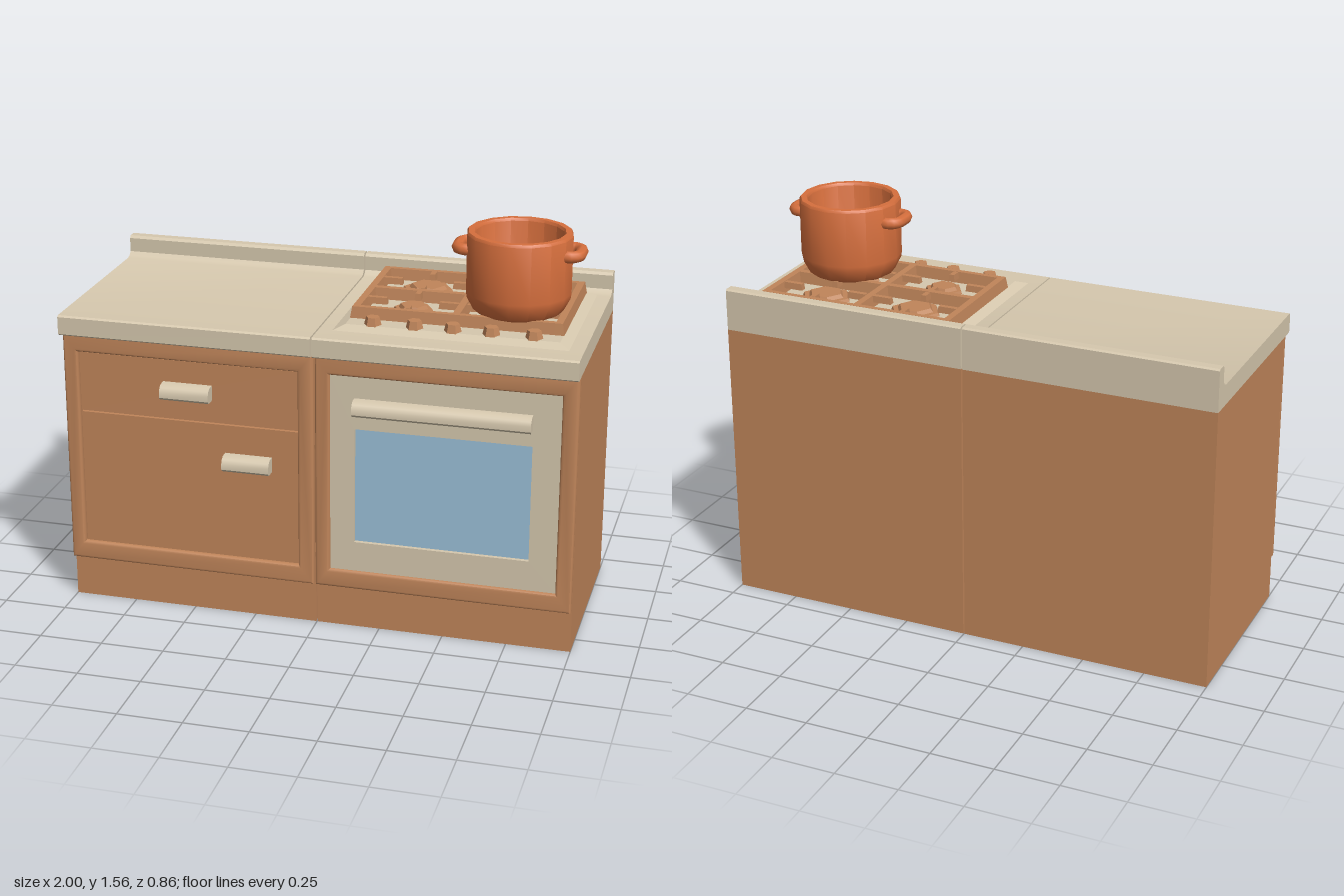
import * as THREE from 'three';
import { toCreasedNormals } from 'three/addons/utils/BufferGeometryUtils.js';

const mat = (name, color) => {
  const m = new THREE.MeshStandardMaterial({ color });
  m.name = name;
  return m;
};

export function createModel() {
  const wood = mat('wood', 0xc0855a);
  const cream = mat('cream', 0xd6c8ae);
  const glass = mat('glass', 0x9ac0d8);
  const orange = mat('orange', 0xd66f3d);
  const model = new THREE.Group();
  model.name = 'kitchenUnits';

  const add = (parent, name, geometry, material) => {
    const m = new THREE.Mesh(geometry, material);
    m.name = name;
    parent.add(m);
    return m;
  };
  const group = (name) => {
    const g = new THREE.Group();
    g.name = name;
    model.add(g);
    return g;
  };

  // Box given by its limits; the top can be drawn in to make sloping sides
  const block = (x0, x1, y0, y1, z0, z1, inset = 0) => {
    const w = x1 - x0, d = z1 - z0;
    const g = new THREE.BoxGeometry(w, y1 - y0, d).toNonIndexed();
    const p = g.attributes.position;
    for (let i = 0; i < p.count; i++) {
      if (p.getY(i) > 0) {
        p.setX(i, p.getX(i) * (1 - 2 * inset / w));
        p.setZ(i, p.getZ(i) * (1 - 2 * inset / d));
      }
    }
    g.computeVertexNormals();
    return g.translate((x0 + x1) / 2, (y0 + y1) / 2, (z0 + z1) / 2);
  };

  // Profile of [z, y] points drawn out from x0 to x1
  const alongX = (points, x0, x1) => {
    const s = new THREE.Shape(points.map(([z, y]) => new THREE.Vector2(z, y)));
    const g = new THREE.ExtrudeGeometry(s, { depth: x1 - x0, bevelEnabled: false });
    return toCreasedNormals(g.rotateY(-Math.PI / 2).translate(x1, 0, 0), 0.6);
  };

  const rect = (T, x0, x1, y0, y1) => new T([[x0, y0], [x1, y0], [x1, y1], [x0, y1]]
    .map(([x, y]) => new THREE.Vector2(x, y)));

  // Flat front panel with a rectangular opening and soft front edges
  const framePanel = (outer, inner, z0, z1, bevel) => {
    const [a, b, c, d] = outer, [e, f, g, h] = inner;
    const s = rect(THREE.Shape, a + bevel, b - bevel, c + bevel, d - bevel);
    s.holes.push(rect(THREE.Path, e - bevel, f + bevel, g - bevel, h + bevel));
    const geo = new THREE.ExtrudeGeometry(s, {
      depth: z1 - z0 - 2 * bevel, bevelEnabled: bevel > 0,
      bevelSize: bevel, bevelThickness: bevel, bevelSegments: 3,
    });
    return toCreasedNormals(geo.translate(0, 0, z0 + bevel), 0.6);
  };

  const handle = (parent, name, x0, x1, y) => add(parent, name, alongX([
    [0.37, y], [0.42, y], [0.43, y + 0.01], [0.43, y + 0.032],
    [0.422, y + 0.048], [0.408, y + 0.058], [0.37, y + 0.06],
  ], x0, x1), cream);

  // Carcass, plinth, front frame and worktop shared by both units
  const unit = (name, x0, x1) => {
    const g = group(name);
    add(g, 'plinth', block(x0, x1, 0, 0.175, -0.425, 0.355), wood);
    add(g, 'carcass', block(x0, x1, 0.175, 1.12, -0.425, 0.36), wood);
    add(g, 'frontFrame', framePanel([x0, x1, 0.175, 1.12],
      [x0 + 0.058, x1 - 0.062, 0.25, 1.045], 0.355, 0.392, 0.012), wood);
    add(g, 'worktop', alongX([
      [-0.425, 1.12], [0.422, 1.12], [0.43, 1.126], [0.43, 1.194], [0.422, 1.2],
      [-0.345, 1.2], [-0.362, 1.206], [-0.375, 1.22], [-0.375, 1.276],
      [-0.384, 1.286], [-0.418, 1.286], [-0.425, 1.28],
    ], x0, x1), cream);
    return g;
  };

  // Cabinet with a drawer and a door
  const cabinet = unit('cabinet', -1, -0.003);
  add(cabinet, 'drawerFront', block(-0.938, -0.067, 0.804, 1.043, 0.35, 0.378), wood);
  add(cabinet, 'doorFront', block(-0.938, -0.067, 0.252, 0.798, 0.35, 0.378), wood);
  handle(cabinet, 'drawerHandle', -0.6, -0.405, 0.895);
  handle(cabinet, 'doorHandle', -0.357, -0.17, 0.625);

  // Oven door with a sunken window
  const cooker = unit('cooker', 0.003, 1);
  add(cooker, 'ovenDoor', framePanel([0.061, 0.938, 0.25, 1.045],
    [0.155, 0.832, 0.37, 0.835], 0.355, 0.38, 0), cream);
  add(cooker, 'ovenWindow', block(0.155, 0.832, 0.37, 0.835, 0.358, 0.364), glass);
  handle(cooker, 'ovenHandle', 0.155, 0.832, 0.9);

  // Hob tray and control knobs
  const hob = group('hob');
  add(hob, 'hobTray', block(0.05, 0.95, 1.198, 1.216, -0.36, 0.33, 0.045), cream);
  const hexagon = (x, y, z, rBottom, rTop, h, zScale = 1) => {
    const g = new THREE.CylinderGeometry(rTop, rBottom, h, 6).rotateY(Math.PI / 6);
    return toCreasedNormals(g.scale(1, 1, zScale).translate(x, y + h / 2, z), 0.3);
  };
  for (const x of [0.195, 0.355, 0.5, 0.645, 0.805]) {
    add(hob, 'knob', hexagon(x, 1.214, 0.262, 0.034, 0.026, 0.032, 0.95), wood);
  }

  // Pan support: tapered bars around four openings
  const bars = [
    [0.092, 0.135, -0.33, 0.212], [0.865, 0.908, -0.33, 0.212],
    [0.475, 0.518, -0.31, 0.19], [0.11, 0.89, -0.33, -0.292],
    [0.11, 0.89, 0.174, 0.212], [0.11, 0.89, -0.078, -0.036],
  ];
  for (const [x0, x1, z0, z1] of bars) {
    add(hob, 'grateBar', block(x0, x1, 1.21, 1.26, z0, z1, 0.008), wood);
  }

  // Burners with four short fingers reaching in from each opening
  const burners = [[0.305, -0.187, 0.105], [0.692, -0.187, 0.105],
    [0.305, 0.067, 0.08], [0.692, 0.067, 0.105]];
  for (const [x, z, r] of burners) {
    add(hob, 'burnerBase', hexagon(x, 1.212, z, r, r * 0.92, 0.016, 0.95), wood);
    add(hob, 'burnerCap', hexagon(x, 1.228, z, r * 0.72, r * 0.62, 0.014, 0.95), wood);
    for (const s of [-1, 1]) {
      const a = x + s * 0.1, b = x + s * 0.18, c = z + s * 0.07, d = z + s * 0.115;
      add(hob, 'grateFinger', block(Math.min(a, b), Math.max(a, b),
        1.235, 1.26, z - 0.013, z + 0.013, 0.003), wood);
      add(hob, 'grateFinger', block(x - 0.013, x + 0.013, 1.235, 1.26,
        Math.min(c, d), Math.max(c, d), 0.003), wood);
    }
  }

  // Cooking pot with a thick wall and two loop handles
  const pot = group('pot');
  pot.position.set(0.705, 0, 0.057);
  const profile = [[0, 1.252], [0.155, 1.252], [0.172, 1.262], [0.197, 1.31], [0.2, 1.33],
    [0.2, 1.55], [0.194, 1.56], [0.172, 1.56], [0.166, 1.55], [0.164, 1.32],
    [0.15, 1.29], [0, 1.29]].map(([r, y]) => new THREE.Vector2(r, y));
  add(pot, 'potBody', toCreasedNormals(new THREE.LatheGeometry(profile, 16), 0.6), orange);
  for (const side of [0, Math.PI]) {
    const path = new THREE.CatmullRomCurve3([[0.172, -0.062], [0.205, -0.062], [0.226, -0.042],
      [0.23, 0], [0.226, 0.042], [0.205, 0.062], [0.172, 0.062]]
      .map(([x, z]) => new THREE.Vector3(x, 1.49, z)));
    add(pot, 'potHandle', new THREE.TubeGeometry(path, 14, 0.023, 8), orange).rotation.y = side;
  }

  return model;
}
